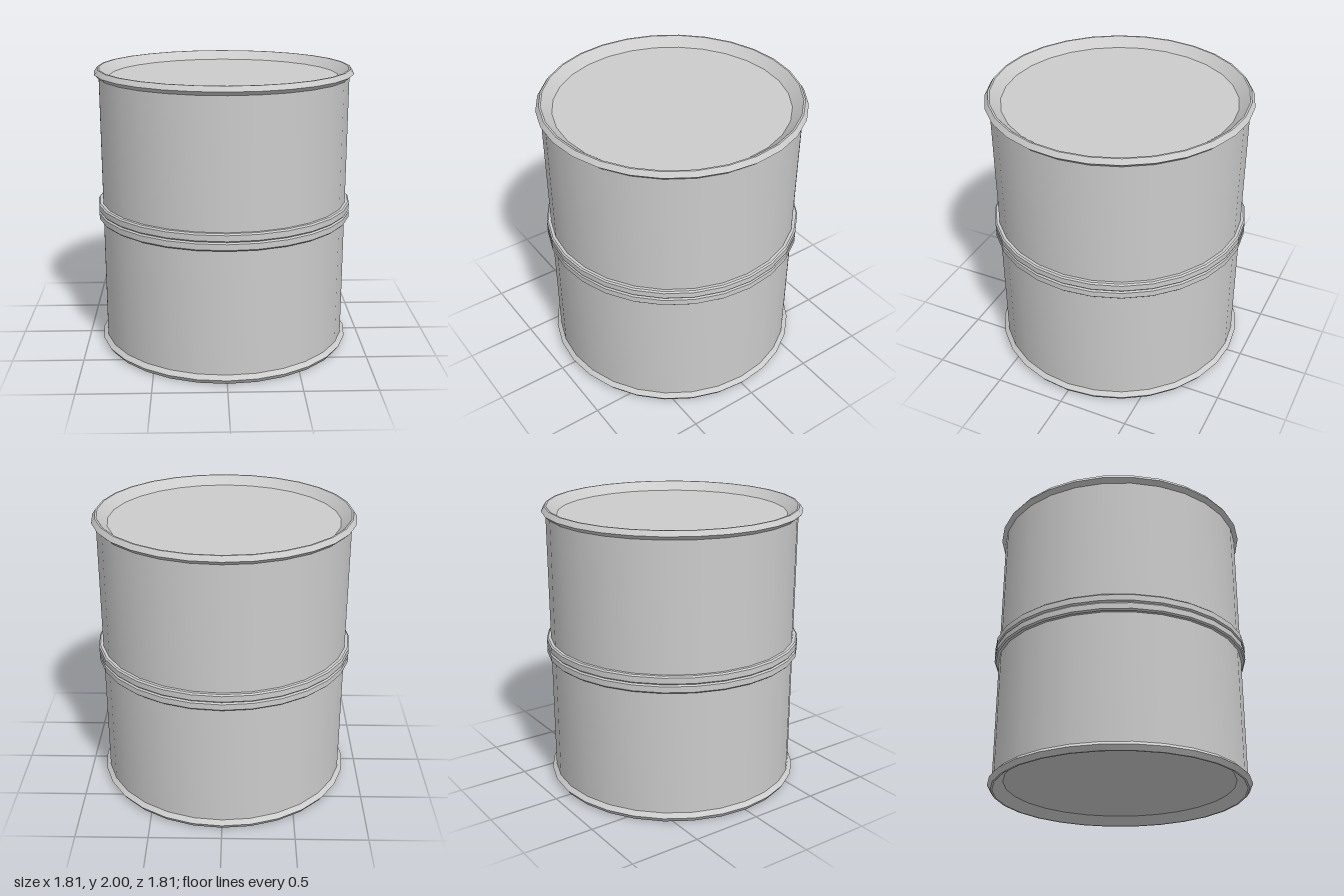
import * as THREE from 'three';
import { toCreasedNormals } from 'three/addons/utils/BufferGeometryUtils.js';

const SIDES = 28;
const BODY_R = 0.875;
const LID_R = 0.8;
const RECESS = 0.06;

export function createModel() {
  const barrel = new THREE.Group();
  barrel.name = 'barrel';
  const material = new THREE.MeshStandardMaterial({ color: 0xcccccc });

  function add(name, geometry, parent = barrel) {
    const mesh = new THREE.Mesh(geometry, material);
    mesh.name = name;
    parent.add(mesh);
    return mesh;
  }

  // Revolved profile, smooth around the drum and sharp along its edges
  function revolve(points) {
    const profile = points.map(([r, y]) => new THREE.Vector2(r, y));
    return toCreasedNormals(new THREE.LatheGeometry(profile, SIDES), 0.5);
  }

  // Straight drum wall
  add('wall', revolve([[BODY_R, 0.06], [BODY_R, 1.94]]));

  // Pair of bevelled hoops around the middle, with a narrow groove between
  for (const [name, y] of [['lowerHoop', 0.97], ['upperHoop', 1.03]]) {
    add(name, revolve([
      [BODY_R - 0.005, y - 0.03], [0.895, y - 0.03], [0.905, y - 0.02],
      [0.905, y + 0.02], [0.895, y + 0.03], [BODY_R - 0.005, y + 0.03],
    ]));
  }

  // Ends: angular rim whose inner side slopes down to a recessed lid
  for (const [name, top] of [['topEnd', true], ['bottomEnd', false]]) {
    const end = new THREE.Group();
    end.name = name;
    end.position.y = top ? 2 : 0;
    if (!top) end.rotation.x = Math.PI;
    barrel.add(end);

    add('rim', revolve([
      [BODY_R - 0.005, -0.065], [0.905, -0.033], [0.882, 0], [0.87, 0], [LID_R, -RECESS],
    ]), end);

    const lid = add('lid', new THREE.CircleGeometry(LID_R, SIDES), end);
    lid.rotation.x = -Math.PI / 2;
    lid.position.y = -RECESS;
  }

  return barrel;
}
